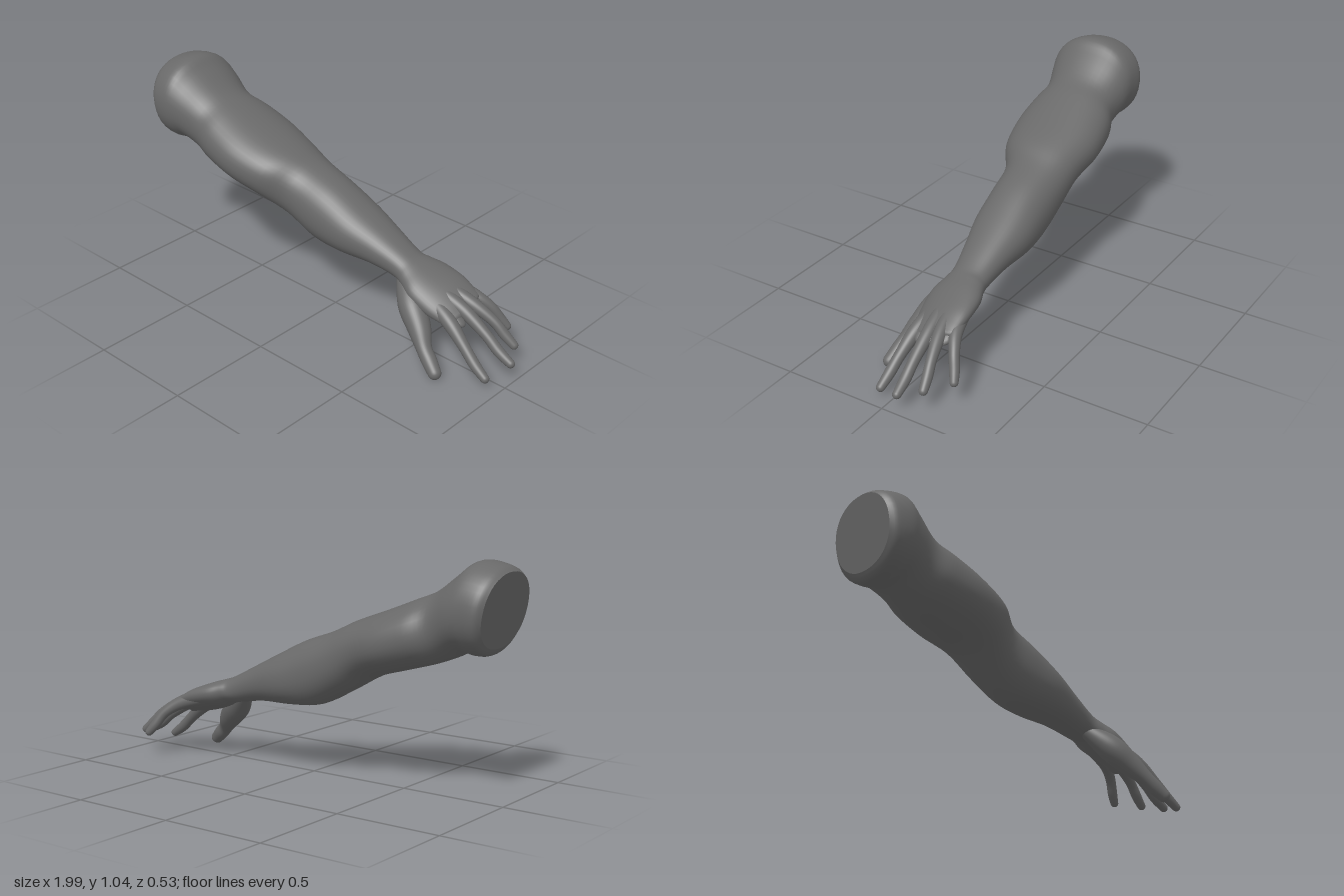
import * as THREE from 'three';

const SIDES = 40;
const skin = new THREE.MeshStandardMaterial({ color: 0x696969 });
skin.name = 'grey skin';

// Catmull-Rom interpolation of rows of numbers
function smoothRows(rows, steps) {
  const out = [];
  const at = i => rows[Math.max(0, Math.min(rows.length - 1, i))];
  for (let i = 0; i < rows.length - 1; i++) {
    const [a, b, c, d] = [at(i - 1), at(i), at(i + 1), at(i + 2)];
    for (let s = 0; s < steps; s++) {
      const t = s / steps;
      out.push(b.map((p, k) => p + 0.5 * t * (c[k] - a[k]
        + t * (2 * a[k] - 5 * p + 4 * c[k] - d[k] + t * (3 * (p - c[k]) + d[k] - a[k])))));
    }
  }
  out.push(rows[rows.length - 1]);
  return out;
}

// Position on a slightly squared ellipse
function ringPoint({ c, u, v, e = 1 }, j) {
  const a = (j / SIDES) * Math.PI * 2;
  const f = n => Math.sign(n) * Math.pow(Math.abs(n), e);
  return c.clone().addScaledVector(u, f(Math.cos(a))).addScaledVector(v, f(Math.sin(a)));
}

// Closed skin through successive rings
function loft(name, rings) {
  const pos = [], index = [], n = rings.length;
  rings.forEach(r => { for (let j = 0; j < SIDES; j++) pos.push(...ringPoint(r, j).toArray()); });
  pos.push(...rings[n - 1].c.toArray());
  for (let j = 0; j < SIDES; j++) {
    const k = (j + 1) % SIDES;
    for (let i = 0; i < n - 1; i++) {
      const p = i * SIDES, q = p + SIDES;
      index.push(p + j, p + k, q + j, p + k, q + k, q + j);
    }
    index.push(n * SIDES, (n - 1) * SIDES + j, (n - 1) * SIDES + k);
  }
  return makeMesh(name, pos, index);
}

function makeMesh(name, pos, index) {
  const g = new THREE.BufferGeometry();
  g.setAttribute('position', new THREE.Float32BufferAttribute(pos, 3));
  g.setIndex(index);
  g.computeVertexNormals();
  const mesh = new THREE.Mesh(g, skin);
  mesh.name = name;
  return mesh;
}

// Continue the last ring into a dome along a direction
function roundTip(rings, dir, depth) {
  const last = rings[rings.length - 1];
  for (let i = 1; i <= 6; i++) {
    const a = (i / 6) * 1.5;
    rings.push({
      ...last,
      c: last.c.clone().addScaledVector(dir, depth * Math.sin(a)),
      u: last.u.clone().multiplyScalar(Math.cos(a)),
      v: last.v.clone().multiplyScalar(Math.cos(a)),
    });
  }
  return rings;
}

// Digit from rows of x, y, z, radius
function digit(name, rows) {
  const pts = smoothRows(rows, 5);
  const centres = pts.map(p => new THREE.Vector3(p[0], p[1], p[2]));
  let dir;
  const rings = pts.map((p, i) => {
    dir = centres[Math.min(i + 1, pts.length - 1)].clone().sub(centres[Math.max(i - 1, 0)]).normalize();
    const u = new THREE.Vector3(0, 1, 0).addScaledVector(dir, -dir.y).normalize();
    const v = dir.clone().cross(u);
    return { c: centres[i], u: u.multiplyScalar(p[3]), v: v.multiplyScalar(p[3]) };
  });
  return loft(name, roundTip(rings, dir, rows[rows.length - 1][3]));
}

export function createModel() {
  const model = new THREE.Group();
  model.name = 'arm';

  // Arm sections: top x, y, bottom x, y, back z, front z, roll
  const sections = [
    [-1.0, 1.005, -0.935, 0.675, -0.15, 0.23, 0],
    [-0.96, 1.03, -0.91, 0.645, -0.175, 0.255, 0],
    [-0.86, 1.045, -0.865, 0.64, -0.176, 0.262, 0],
    [-0.79, 0.995, -0.81, 0.648, -0.172, 0.245, 0],
    [-0.675, 0.91, -0.735, 0.615, -0.155, 0.218, 0],
    [-0.57, 0.865, -0.64, 0.58, -0.19, 0.236, 0],
    [-0.42, 0.805, -0.5, 0.54, -0.206, 0.24, 0],
    [-0.26, 0.745, -0.36, 0.497, -0.187, 0.205, 0],
    [-0.15, 0.69, -0.23, 0.42, -0.18, 0.135, 0],
    [0, 0.635, -0.08, 0.345, -0.182, 0.12, 0],
    [0.15, 0.56, 0.07, 0.328, -0.183, 0.105, 0],
    [0.29, 0.487, 0.23, 0.325, -0.16, 0.065, 0],
    [0.41, 0.425, 0.36, 0.305, -0.145, 0.038, 0],
    [0.46, 0.405, 0.43, 0.29, -0.156, 0.05, 0.01],
    [0.53, 0.38, 0.49, 0.265, -0.18, 0.075, 0.02],
    [0.62, 0.34, 0.58, 0.24, -0.188, 0.07, 0.03],
    [0.68, 0.305, 0.65, 0.225, -0.183, 0.055, 0.03],
    [0.715, 0.278, 0.695, 0.222, -0.175, 0.048, 0.03],
  ];
  const rings = smoothRows(sections, 5).map(([tx, ty, bx, by, z0, z1, roll]) => ({
    c: new THREE.Vector3((tx + bx) / 2, (ty + by) / 2, (z0 + z1) / 2),
    u: new THREE.Vector3((tx - bx) / 2, (ty - by) / 2, 0),
    v: new THREE.Vector3(0, -roll, (z1 - z0) / 2),
    e: 0.92,
  }));
  const first = rings[0];
  roundTip(rings, new THREE.Vector3(0.9, -0.44, 0), 0.025);
  model.add(loft('armAndPalm', rings));

  // Flat end at the shoulder
  const capPos = first.c.toArray(), capIndex = [];
  for (let j = 0; j < SIDES; j++) {
    capPos.push(...ringPoint(first, j).toArray());
    capIndex.push(0, 1 + ((j + 1) % SIDES), 1 + j);
  }
  model.add(makeMesh('shoulderCap', capPos, capIndex));

  // Thumb and fingers
  const digits = {
    thumb: [[0.4, 0.335, -0.02, 0.035], [0.5, 0.25, 0.045, 0.062], [0.585, 0.175, 0.088, 0.053],
      [0.645, 0.115, 0.125, 0.036], [0.69, 0.075, 0.14, 0.035], [0.732, 0.04, 0.155, 0.03]],
    indexFinger: [[0.58, 0.285, 0.005, 0.035], [0.7, 0.23, 0.025, 0.034], [0.8, 0.155, 0.042, 0.026],
      [0.87, 0.095, 0.051, 0.025], [0.93, 0.055, 0.056, 0.02]],
    middleFinger: [[0.6, 0.305, -0.045, 0.034], [0.72, 0.258, -0.055, 0.032], [0.84, 0.185, -0.06, 0.025],
      [0.91, 0.13, -0.062, 0.025], [0.975, 0.093, -0.065, 0.02]],
    ringFinger: [[0.6, 0.313, -0.09, 0.034], [0.72, 0.268, -0.112, 0.031], [0.82, 0.21, -0.138, 0.024],
      [0.875, 0.155, -0.152, 0.024], [0.92, 0.115, -0.162, 0.02]],
    littleFinger: [[0.56, 0.313, -0.135, 0.034], [0.68, 0.274, -0.168, 0.03], [0.75, 0.225, -0.205, 0.024],
      [0.79, 0.165, -0.232, 0.023], [0.818, 0.128, -0.248, 0.019]],
  };
  for (const [name, rows] of Object.entries(digits)) model.add(digit(name, rows));

  // Skin webs between neighbouring fingers
  const webs = [[0.7, 0.235, -0.015], [0.71, 0.255, -0.083], [0.695, 0.265, -0.14]];
  webs.forEach(([x, y, z]) => {
    const web = new THREE.Mesh(new THREE.SphereGeometry(1, 20, 14), skin);
    web.name = 'fingerWeb';
    web.scale.set(0.06, 0.022, 0.034);
    web.rotation.z = -0.45;
    web.position.set(x, y, z);
    model.add(web);
  });
  return model;
}
